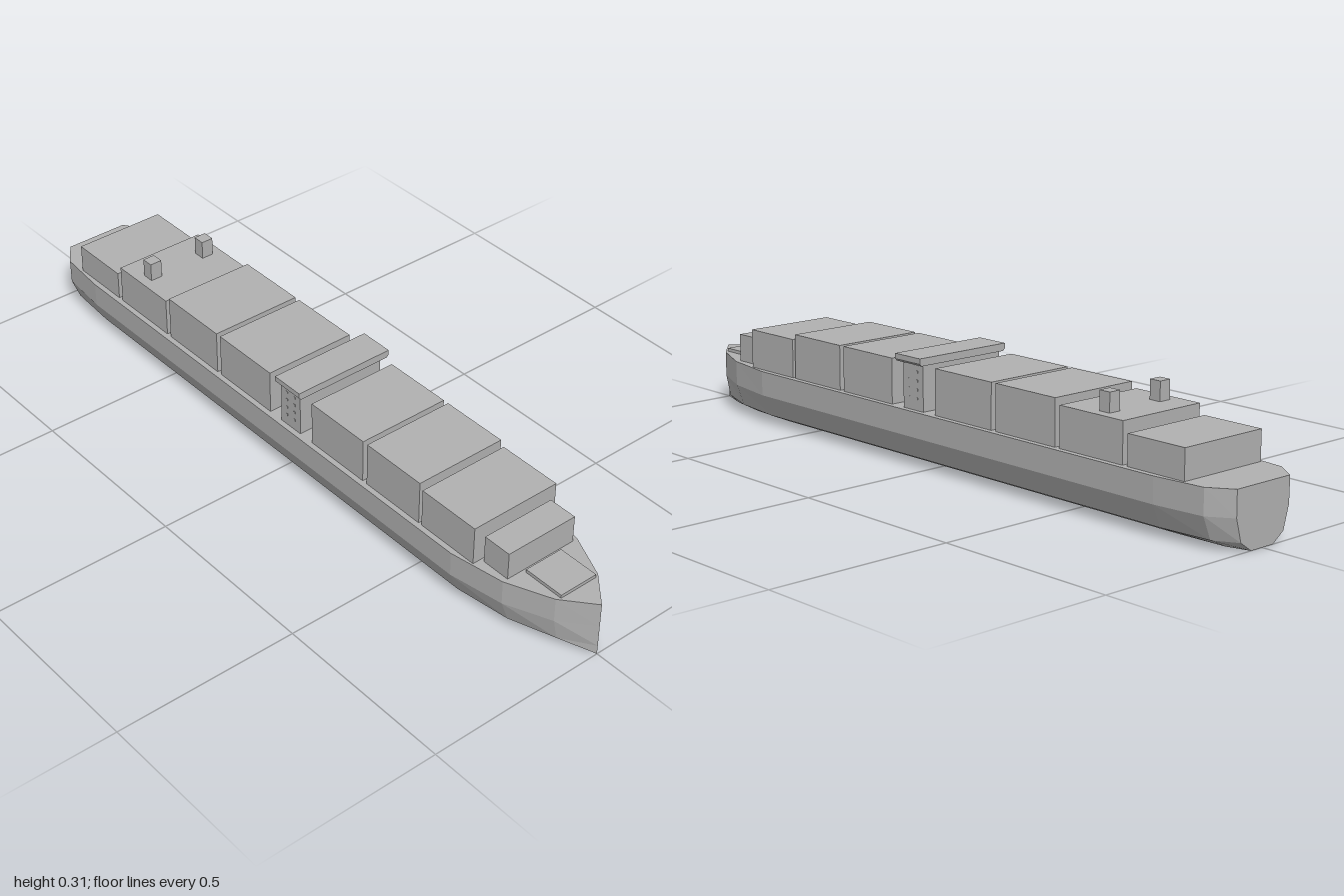
import * as THREE from 'three';

const DECK = 0.152;

export function createModel() {
  const ship = new THREE.Group();
  ship.name = 'containerShip';
  const grey = new THREE.MeshStandardMaterial({ color: 0xb0b0b0, flatShading: true });
  grey.name = 'plain grey';

  function add(name, geometry, parent = ship) {
    const mesh = new THREE.Mesh(geometry, grey);
    mesh.name = name;
    parent.add(mesh);
    return mesh;
  }

  // Box given by its x range, y range, half width and z centre
  function block(name, x0, x1, y0, y1, half, z = 0, parent = ship) {
    const mesh = add(name, new THREE.BoxGeometry(x1 - x0, y1 - y0, half * 2), parent);
    mesh.position.set((x0 + x1) / 2, (y0 + y1) / 2, z);
    return mesh;
  }

  // Hull: one cross-section, narrowed along the deck outline
  function hullGeometry() {
    const side = [[0.06, 0], [0.117, 0.025], [0.144, 0.085], [0.145, DECK]];
    const ring = [...side, ...side.map(([z, y]) => [-z, y]).reverse()];
    const outline = [[-1, 0.09], [-0.94, 0.132], [-0.8, 0.145], [0.65, 0.145],
      [0.8, 0.12], [0.92, 0.068], [1, 0]];
    const n = ring.length;
    const positions = [];
    const index = [];
    for (const [x, half] of outline) {
      for (const [z, y] of ring) positions.push(x, y, z * half / 0.145);
    }
    for (let i = 0; i < outline.length - 1; i++) {
      for (let j = 0; j < n; j++) {
        const k = (j + 1) % n;
        const a = i * n + j, b = a + n, c = (i + 1) * n + k, d = i * n + k;
        index.push(a, b, d, b, c, d);
      }
    }
    for (let j = 1; j < n - 1; j++) index.push(0, j, j + 1); // transom
    const geometry = new THREE.BufferGeometry();
    geometry.setAttribute('position', new THREE.Float32BufferAttribute(positions, 3));
    geometry.setIndex(index);
    const flat = geometry.toNonIndexed();
    flat.computeVertexNormals();
    return flat;
  }
  add('hull', hullGeometry());

  // Container stacks: x start, x end, top, half width
  const cargo = new THREE.Group();
  cargo.name = 'containerStacks';
  ship.add(cargo);
  [
    [-0.88, -0.705, 0.23, 0.13], [-0.69, -0.485, 0.257, 0.13],
    [-0.47, -0.265, 0.272, 0.13], [-0.25, -0.045, 0.272, 0.13],
    [0.12, 0.315, 0.272, 0.13], [0.33, 0.52, 0.272, 0.13],
    [0.53, 0.71, 0.257, 0.13], [0.72, 0.8, 0.227, 0.105],
  ].forEach(([x0, x1, top, half]) => block('containerStack', x0, x1, DECK, top, half, 0, cargo));

  block('forecastleHatch', 0.81, 0.925, DECK, 0.161, 0.056);

  // Bridge tower with an overhanging wheelhouse that narrows below
  const bridge = new THREE.Group();
  bridge.name = 'bridge';
  ship.add(bridge);
  block('bridgeTower', 0, 0.075, DECK, 0.273, 0.13, 0, bridge);
  const roof = new THREE.Shape([[-0.139, 0.272], [0.139, 0.272], [0.145, 0.278], [0.145, 0.292],
    [-0.145, 0.292], [-0.145, 0.278]].map(([z, y]) => new THREE.Vector2(z, y)));
  const wheelhouse = add('wheelhouse',
    new THREE.ExtrudeGeometry(roof, { depth: 0.095, bevelEnabled: false }), bridge);
  wheelhouse.rotation.y = Math.PI / 2;
  wheelhouse.position.x = -0.005;

  // Small windows on both sides of the tower
  for (const s of [-1, 1]) {
    for (let row = 0; row < 4; row++) {
      for (const x of [0.02, 0.05]) {
        const y = 0.18 + row * 0.023;
        block('towerWindow', x, x + 0.006, y, y + 0.006, 0.001, s * 0.13, bridge);
      }
    }
    // Twin funnels
    block('funnel', -0.62, -0.587, 0.257, 0.307, 0.017, s * 0.085);
  }

  return ship;
}
